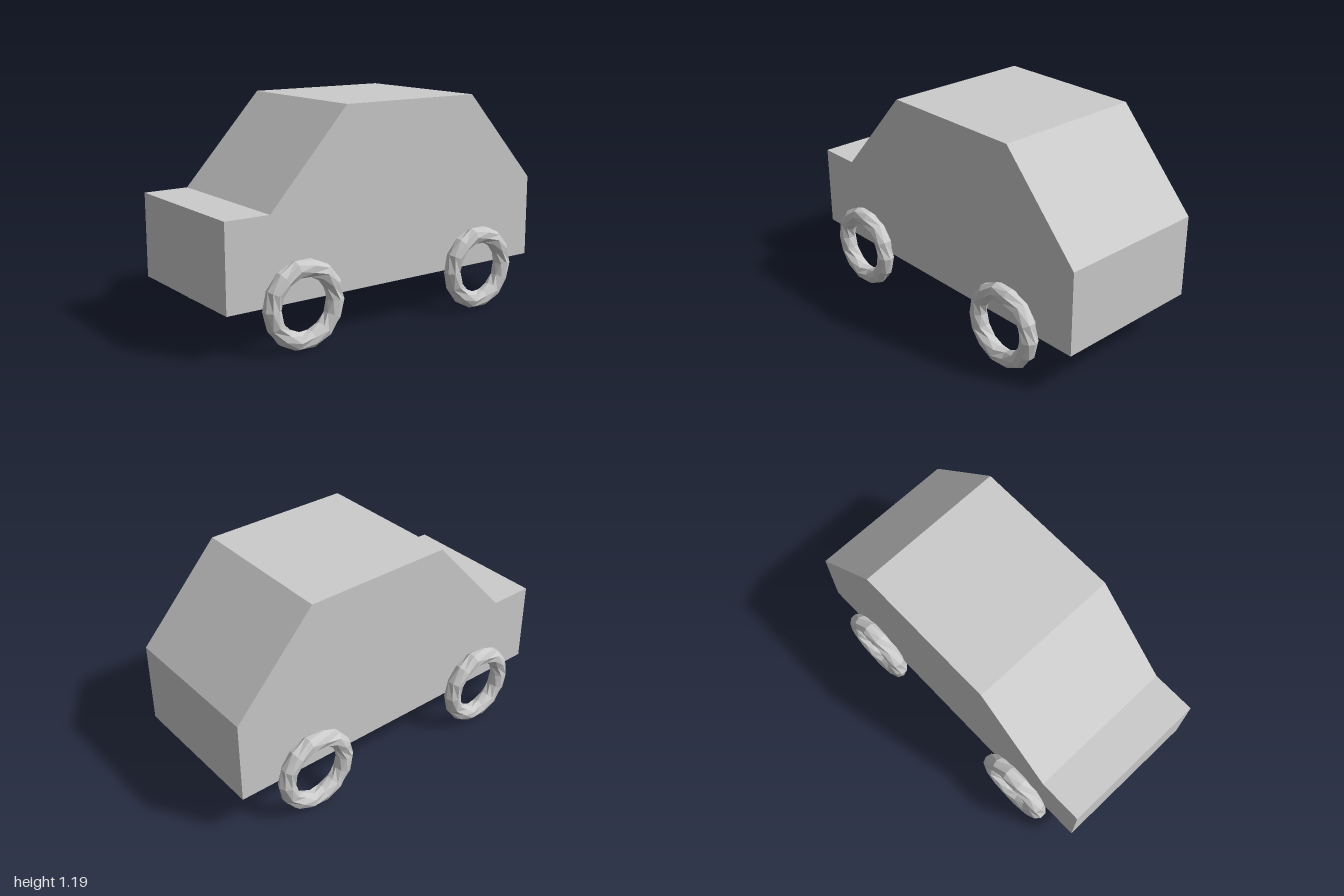
import * as THREE from 'three';

const material = new THREE.MeshStandardMaterial({ color: 0xcccccc, flatShading: true });

// Side profile of the car (z, y), extruded across its width
function makeBody() {
  const width = 0.855;
  const profile = [
    [1, 0.24], [1, 0.7], [0.75, 0.7], [0.295, 1.2],
    [-0.545, 1.2], [-1, 0.7], [-1, 0.24],
  ].map(([z, y]) => new THREE.Vector2(z, y));
  const geometry = new THREE.ExtrudeGeometry(new THREE.Shape(profile), {
    depth: width, bevelEnabled: false,
  });
  geometry.translate(0, 0, -width / 2).rotateY(-Math.PI / 2);
  const body = new THREE.Mesh(geometry, material);
  body.name = 'body';
  return body;
}

// Open ring tyre; every other cross-section is turned half a step for uneven facets
function makeTyreGeometry() {
  const radius = 0.187, tube = 0.0475, sides = 8, rings = 14;
  const geometry = new THREE.TorusGeometry(radius, tube, sides, rings);
  const position = geometry.attributes.position;
  for (let j = 0; j <= sides; j++) {
    for (let i = 0; i <= rings; i++) {
      const u = (i / rings) * Math.PI * 2;
      const v = ((j + (i % 2) / 2) / sides) * Math.PI * 2;
      const r = radius + tube * Math.cos(v);
      position.setXYZ(j * (rings + 1) + i, r * Math.cos(u), r * Math.sin(u), tube * Math.sin(v));
    }
  }
  geometry.computeVertexNormals();
  return geometry.rotateY(Math.PI / 2);
}

export function createModel() {
  const car = new THREE.Group();
  car.name = 'car';
  car.add(makeBody());

  // Four wheels against the body sides
  const tyre = makeTyreGeometry();
  for (const [end, z] of [['front', 0.59], ['rear', -0.575]]) {
    for (const [side, sign] of [['Left', 1], ['Right', -1]]) {
      const wheel = new THREE.Mesh(tyre, material);
      wheel.name = `${end}${side}Wheel`;
      wheel.position.set(sign * 0.473, 0.236, z);
      car.add(wheel);
    }
  }
  return car;
}
